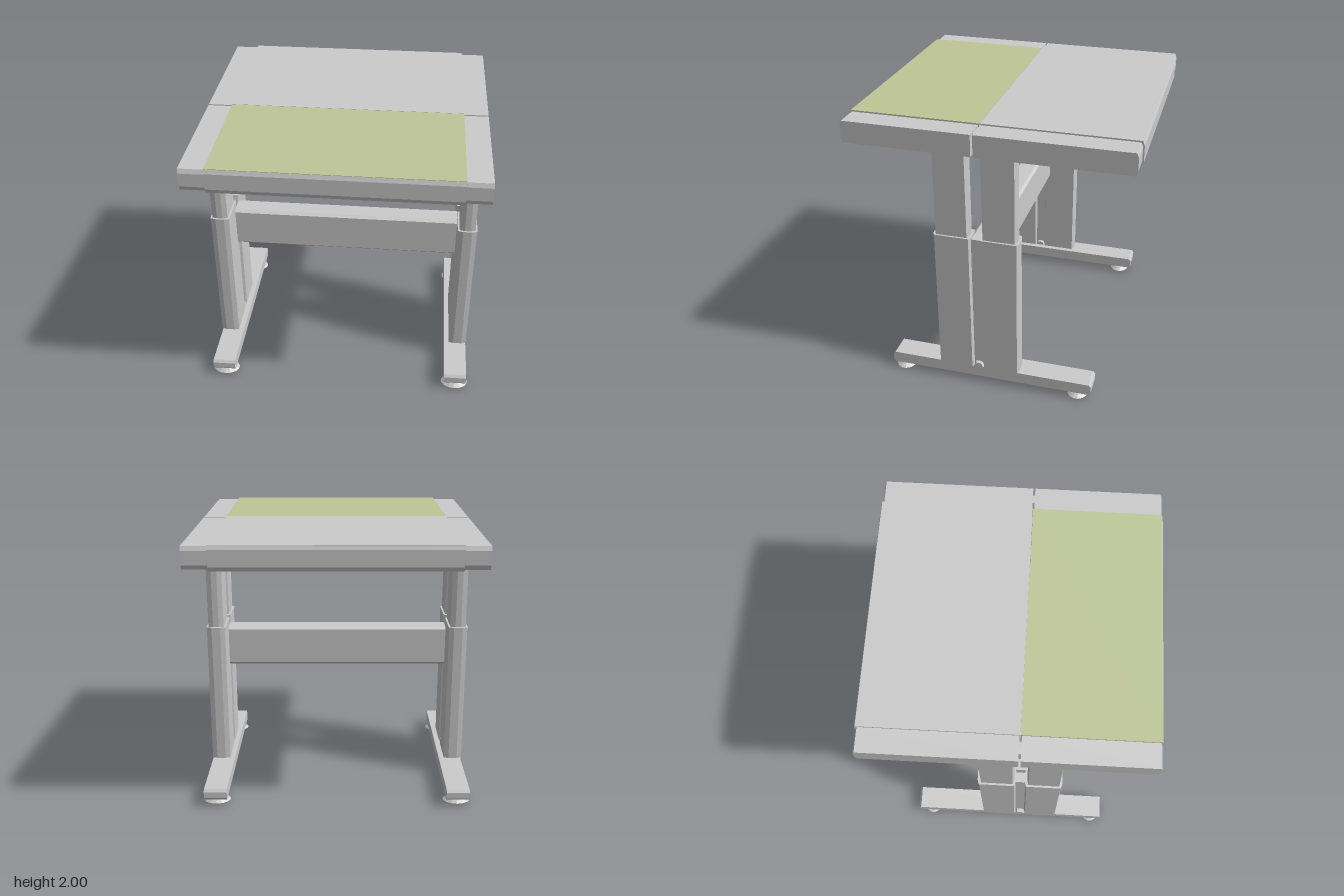
import * as THREE from 'three';

const grey = new THREE.MeshStandardMaterial({ color: 0xcccccc, flatShading: true });
const olive = new THREE.MeshStandardMaterial({ color: 0xbec697, flatShading: true });

function mesh(parent, name, geometry, material = grey) {
  const m = new THREE.Mesh(geometry, material);
  m.name = name;
  parent.add(m);
  return m;
}

function box(parent, name, [x0, x1], [y0, y1], [z0, z1], material) {
  const g = new THREE.BoxGeometry(x1 - x0, y1 - y0, z1 - z0);
  g.translate((x0 + x1) / 2, (y0 + y1) / 2, (z0 + z1) / 2);
  return mesh(parent, name, g, material);
}

function extrude(points, depth) {
  const shape = new THREE.Shape(points.map(([a, b]) => new THREE.Vector2(a, b)));
  return new THREE.ExtrudeGeometry(shape, { depth, bevelEnabled: false });
}

// Extrudes a (z, y) profile along x
function alongX(parent, name, [x0, x1], profile) {
  const g = extrude(profile.map(([z, y]) => [-z, y]), x1 - x0);
  g.rotateY(Math.PI / 2);
  g.translate(x0, 0, 0);
  return mesh(parent, name, g);
}

// Slab across x whose back and front ends bulge by a and b
function slab(parent, name, x, [y0, y1], [z0, z1], a, b, cy) {
  return alongX(parent, name, x, [
    [z0 + a, y0], [z1 - b, y0], [z1, y0 + cy], [z1, y1 - cy],
    [z1 - b, y1], [z0 + a, y1], [z0, y1 - cy], [z0, y0 + cy],
  ]);
}

// Upright post with chamfered corners
function post(parent, name, cx, w, [y0, y1], [z0, z1], chX = 0.036, chZ = 0.01) {
  const h = w / 2, a = -z1, b = -z0;
  const g = extrude([
    [cx - h + chX, a], [cx + h - chX, a], [cx + h, a + chZ], [cx + h, b - chZ],
    [cx + h - chX, b], [cx - h + chX, b], [cx - h, b - chZ], [cx - h, a + chZ],
  ], y1 - y0);
  g.rotateX(-Math.PI / 2);
  g.translate(0, y0, 0);
  return mesh(parent, name, g);
}

function addLeg(parent, side) {
  const leg = new THREE.Group();
  leg.name = side > 0 ? 'leftLeg' : 'rightLeg';
  parent.add(leg);
  const cx = side * 0.91 - 0.007;
  const fx = side * 0.888 - 0.005;

  // Foot bar with bulged ends
  slab(leg, 'footBar', [fx - 0.084, fx + 0.084], [0.05, 0.135], [-0.755, 0.755], 0.015, 0.015, 0.02);

  // Flared levelling pads
  for (const z of [-0.648, 0.677]) {
    const profile = [[0, 0], [0.094, 0], [0.1, 0.008], [0.052, 0.042], [0.045, 0.055], [0, 0.055]];
    const pad = mesh(leg, 'levellingPad', new THREE.LatheGeometry(profile.map(([r, y]) => new THREE.Vector2(r, y)), 14));
    pad.scale.z = 0.78;
    pad.position.set(fx, 0, z);
  }

  // Twin telescoping columns with collars
  for (const [z0, z1] of [[-0.22, 0.05], [0.12, 0.385]]) {
    post(leg, 'lowerColumn', cx, 0.136, [0.13, 1.19], [z0, z1]);
    post(leg, 'columnCollar', cx, 0.142, [1.19, 1.21], [z0 - 0.003, z1 + 0.003]);
    post(leg, 'upperColumn', cx, 0.114, [1.2, 1.84], [z0 + 0.014, z1 - 0.01]);
  }
  // Recessed web closing the slot between the lower columns
  box(leg, 'columnWeb', [cx - 0.035, cx + 0.035], [0.13, 1.19], [0.04, 0.13]);
  alongX(leg, 'slotSill', [cx - 0.064, cx + 0.064], [[0.05, 0.135], [0.12, 0.135], [0.105, 0.165], [0.065, 0.165]]);
}

function addSideRail(parent, side) {
  const x = side > 0 ? [0.826, 0.995] : [-0.995, -0.826];
  const y = [1.835, 1.99];
  slab(parent, 'frontSideRail', x, y, [0.085, 0.985], 0, 0.012, 0.03);
  slab(parent, 'rearSideRail', x, y, [-0.99, 0.07], 0.012, 0, 0.03);
  const c = side * 0.915;
  box(parent, 'railJoint', [c - 0.03, c + 0.03], [1.85, 1.98], [0.06, 0.095]);
}

export function createModel() {
  const table = new THREE.Group();
  table.name = 'adjustableTable';

  // Split table top
  const top = new THREE.Group();
  top.name = 'tableTop';
  table.add(top);
  const x = [-0.825, 0.825];
  slab(top, 'rearPanel', x, [1.825, 1.998], [-1, 0.074], 0.012, 0, 0.03);
  slab(top, 'frontPanel', x, [1.825, 1.998], [0.077, 0.992], 0, 0.012, 0.03);
  box(top, 'frontPanelSurface', x, [1.997, 2], [0.077, 0.982], olive);
  box(top, 'rearPanelSurface', x, [1.997, 2], [-0.99, 0.074]);

  for (const side of [-1, 1]) {
    addSideRail(top, side);
    addLeg(table, side);
  }

  // Cross beam between the lower columns
  slab(table, 'crossBeam', [-0.852, 0.838], [0.84, 1.145], [0, 0.165], 0.02, 0.02, 0.018);

  // Inverted channel bars under the top
  for (const z of [-0.085, 0.25]) {
    const w = 0.042, t = 0.015;
    alongX(table, 'supportBar', [-0.862, 0.848], [
      [z - w, 1.72], [z - w + t, 1.72], [z - w + t, 1.76], [z + w - t, 1.76],
      [z + w - t, 1.72], [z + w, 1.72], [z + w, 1.77], [z + w - 0.01, 1.78],
      [z - w + 0.01, 1.78], [z - w, 1.77],
    ]);
  }
  return table;
}
